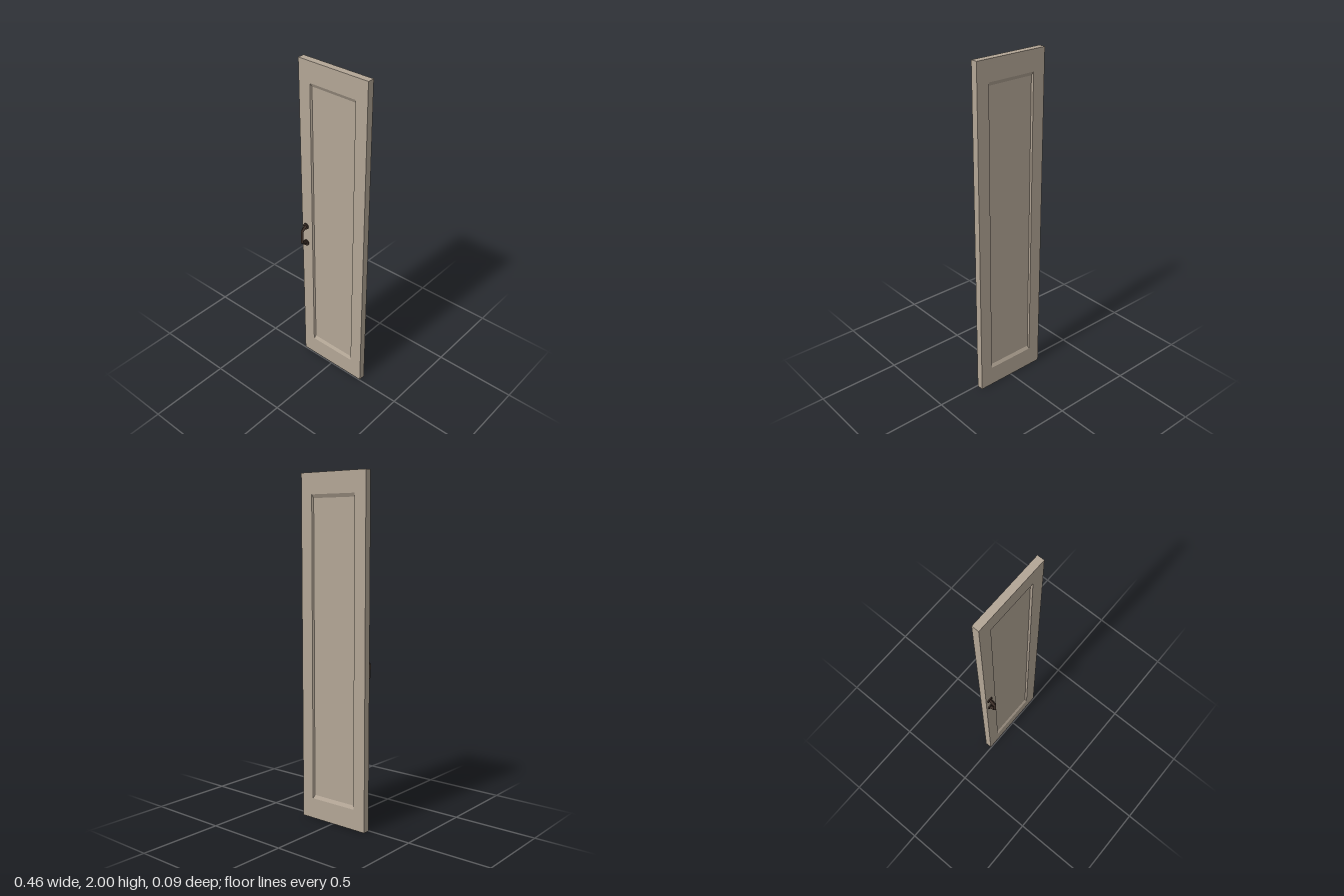
import * as THREE from 'three';

// Skin a list of rings (each with the same number of [x, y, z] corners) and cap both ends
function loft(rings) {
  const n = rings[0].length, pos = [];
  const tri = (a, b, c) => pos.push(...a, ...b, ...c);
  for (let i = 0; i < rings.length - 1; i++) {
    for (let j = 0; j < n; j++) {
      const k = (j + 1) % n, a = rings[i], b = rings[i + 1];
      tri(a[j], a[k], b[k]);
      tri(a[j], b[k], b[j]);
    }
  }
  const first = rings[0], last = rings[rings.length - 1];
  for (let j = 1; j < n - 1; j++) {
    tri(first[0], first[j + 1], first[j]);
    tri(last[0], last[j], last[j + 1]);
  }
  const g = new THREE.BufferGeometry();
  g.setAttribute('position', new THREE.Float32BufferAttribute(pos, 3));
  g.computeVertexNormals();
  return g;
}

export function createModel() {
  const paint = new THREE.MeshStandardMaterial({ color: 0xb3a696 });
  paint.name = 'taupe paint';
  const bronze = new THREE.MeshStandardMaterial({ color: 0x3d3029 });
  bronze.name = 'dark bronze';

  const model = new THREE.Group();
  model.name = 'cabinetDoor';
  const add = (parent, name, geometry, material) => {
    const mesh = new THREE.Mesh(geometry, material);
    mesh.name = name;
    parent.add(mesh);
    return mesh;
  };

  // Door slab with a bevelled, sunken panel on both faces
  const back = -0.045, front = -0.004, sink = 0.01;
  const rect = (w, y0, y1, z) => [[-w, y0, z], [w, y0, z], [w, y1, z], [-w, y1, z]];
  const edge = z => rect(0.228, 0, 2, z);
  const lip = z => rect(0.151, 0.12, 1.88, z);
  const panel = z => rect(0.145, 0.14, 1.86, z);
  add(model, 'door', loft([
    panel(back + sink), lip(back), edge(back),
    edge(front), lip(front), panel(front - sink),
  ]), paint);

  // Pull handle: diamond-section bar mitred along a bracket-shaped path
  const handle = new THREE.Group();
  handle.name = 'handle';
  handle.position.set(-0.199, 0.914, 0);
  model.add(handle);

  const r = 0.0107;
  const path = [[-0.058, front], [-0.058, 0.006], [-0.036, 0.032],
    [0.036, 0.032], [0.058, 0.006], [0.058, front]].map(p => new THREE.Vector2(...p));
  const sections = path.map((p, i) => {
    const before = p.clone().sub(path[Math.max(i - 1, 0)]).normalize();
    const after = path[Math.min(i + 1, path.length - 1)].clone().sub(p).normalize();
    const dir = before.clone().add(after).normalize();
    const stretch = r / dir.dot(i ? before : after);
    const ny = -dir.y * stretch, nz = dir.x * stretch;
    return [[r, p.x, p.y], [0, p.x - ny, p.y - nz], [-r, p.x, p.y], [0, p.x + ny, p.y + nz]];
  });
  add(handle, 'grip', loft(sections), bronze);

  // Round mounting plates
  for (const side of [-1, 1]) {
    const plate = add(handle, side > 0 ? 'upperPlate' : 'lowerPlate',
      new THREE.CylinderGeometry(0.0195, 0.0195, 0.006, 12), bronze);
    plate.rotation.x = Math.PI / 2;
    plate.position.set(0, side * 0.058, front + 0.003);
  }
  return model;
}
